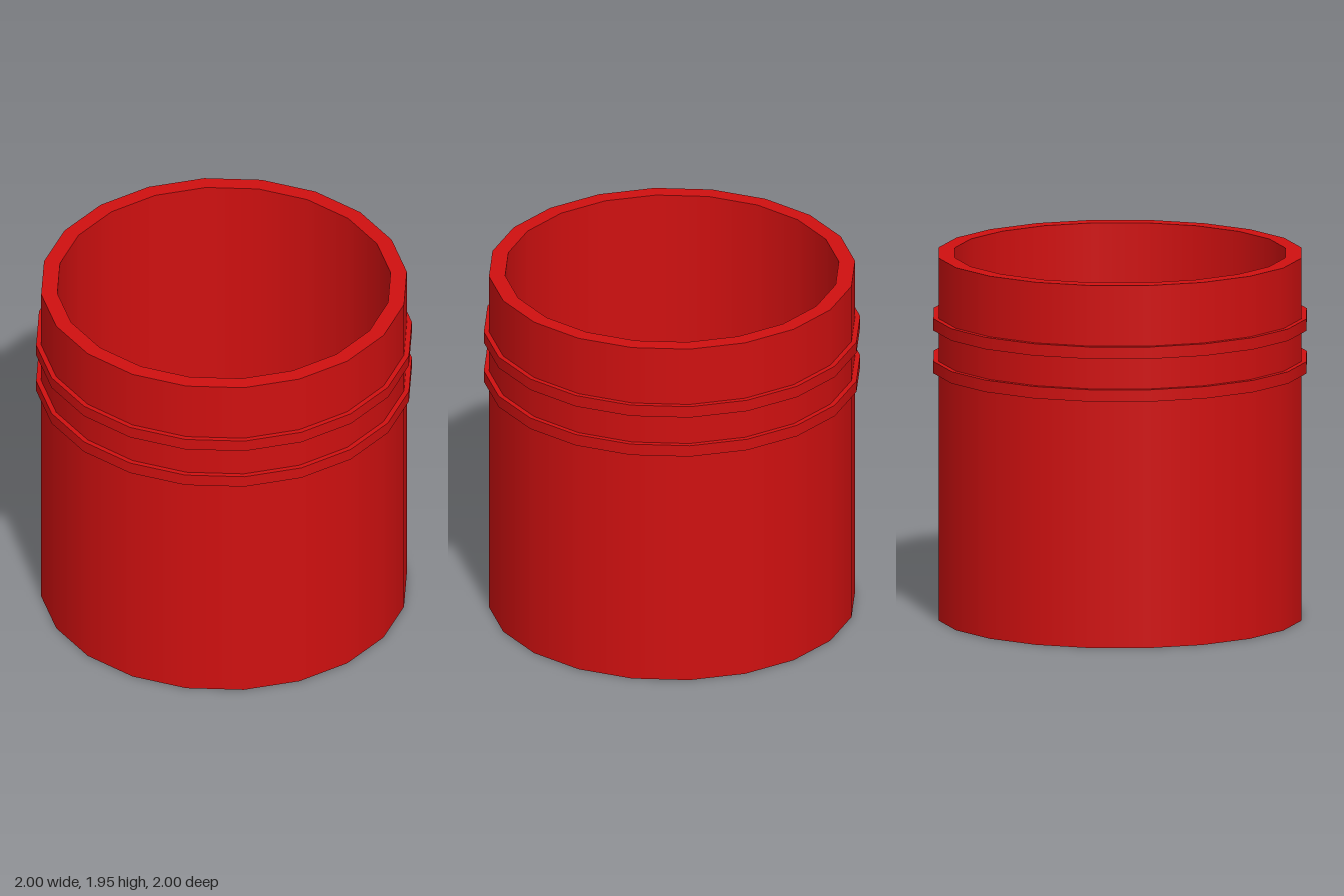
import * as THREE from 'three';
import { mergeGeometries } from 'three/addons/utils/BufferGeometryUtils.js';

const SIDES = 20;

// Revolve a profile one segment at a time: smooth around, sharp between segments
function revolve(profile) {
  const strips = [];
  for (let i = 0; i < profile.length - 1; i++) {
    const ends = [profile[i], profile[i + 1]].map(([r, y]) => new THREE.Vector2(r, y));
    strips.push(new THREE.LatheGeometry(ends, SIDES));
  }
  return mergeGeometries(strips);
}

export function createModel() {
  const group = new THREE.Group();
  group.name = 'cup';
  const material = new THREE.MeshStandardMaterial({ color: 0xd01010 });

  const add = (name, profile) => {
    const mesh = new THREE.Mesh(revolve(profile), material);
    mesh.name = name;
    group.add(mesh);
  };

  // Open vessel: underside, outer wall, rim, inner wall, floor
  const outer = 0.973, inner = 0.887, height = 1.95, floor = 0.09;
  add('body', [[0, 0], [outer, 0], [outer, height], [inner, height], [inner, floor], [0, floor]]);

  // Two raised bands around the upper wall
  const bands = { lowerBand: 1.33, upperBand: 1.56 };
  for (const [name, y] of Object.entries(bands)) {
    add(name, [[0.95, y], [1, y], [1, y + 0.064], [0.95, y + 0.064]]);
  }

  return group;
}
